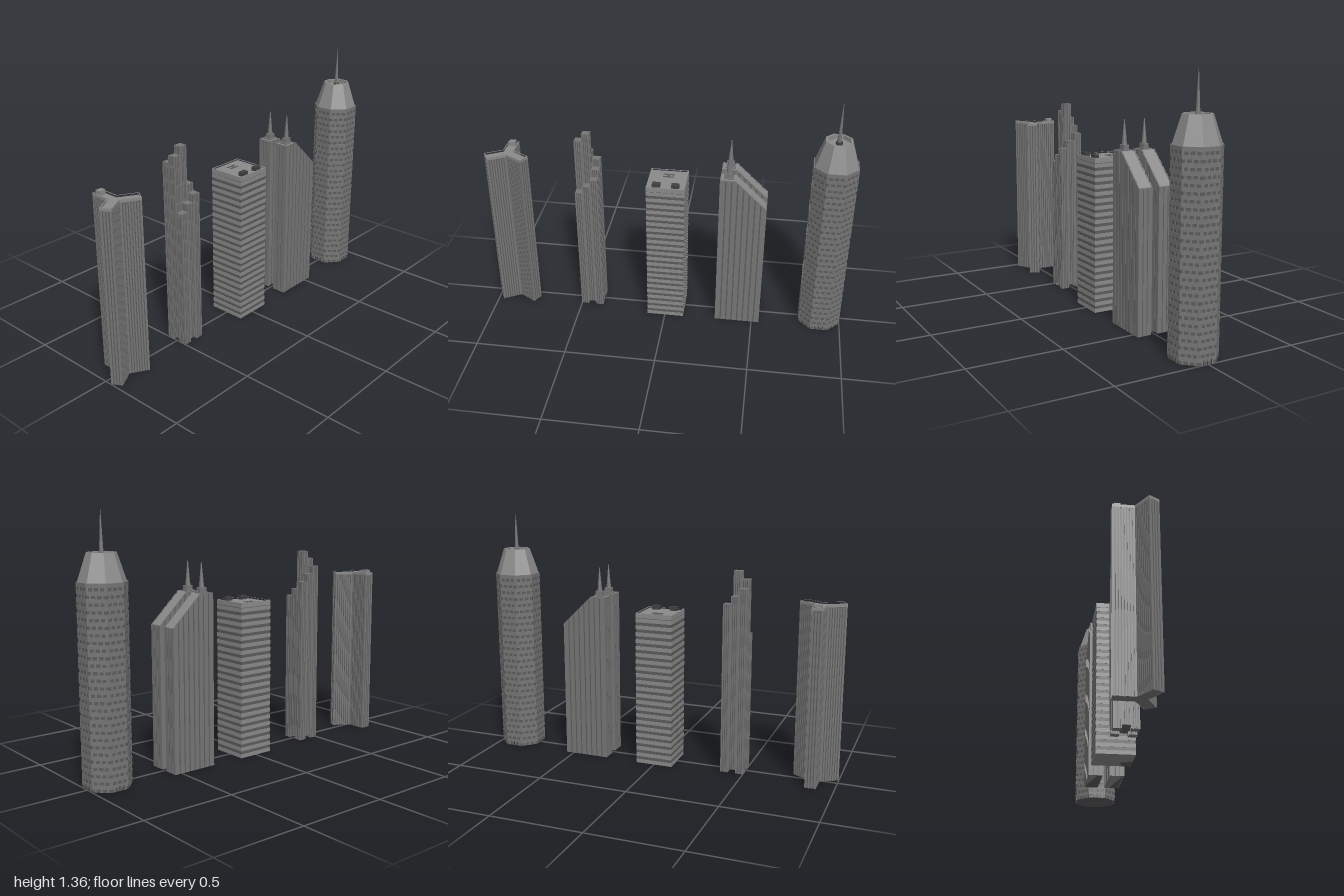
import * as THREE from 'three';
import { mergeGeometries } from 'three/addons/utils/BufferGeometryUtils.js';

const paint = color => new THREE.MeshStandardMaterial({ color, flatShading: true });
const ROOF = paint(0x8a8a8a), WALL = paint(0x767676), GLASS = paint(0x5c5c5c), DARK = paint(0x404040);

function add(group, name, geometries, material = WALL) {
  const list = [geometries].flat().map(g => (g.index ? g.toNonIndexed() : g));
  const mesh = new THREE.Mesh(mergeGeometries(list), material);
  mesh.name = name;
  group.add(mesh);
}

function tower(name, x, z = 0) {
  const g = new THREE.Group();
  g.name = name;
  g.position.set(x, 0, z);
  return g;
}

// Box standing on y0
const box = (w, h, d, x = 0, y0 = 0, z = 0) =>
  new THREE.BoxGeometry(w, h, d).translate(x, y0 + h / 2, z);

// Eight-sided prism with flat sides facing the axes; r is the distance to a flat
const K = 1 / Math.cos(Math.PI / 8);
const octagon = (r, h, y0) => new THREE.CylinderGeometry(r * K, r * K, h, 8)
  .rotateY(Math.PI / 8).translate(0, y0 + h / 2, 0);

const toShape = pts => new THREE.Shape(pts.map(([x, z]) => new THREE.Vector2(x, -z)));
const square = r => [[-r, -r], [r, -r], [r, r], [-r, r]];

// Plan outline ([x, z] points) raised from y0 to y1
function raise(pts, y0, y1, hole) {
  const shape = toShape(pts);
  if (hole) shape.holes.push(toShape(hole));
  return new THREE.ExtrudeGeometry(shape, { depth: y1 - y0, bevelEnabled: false })
    .rotateX(-Math.PI / 2).translate(0, y0, 0);
}

// Cuts evenly spaced vertical grooves into a plan outline
function grooved(pts, spacing, depth) {
  const area = THREE.ShapeUtils.area(pts.map(([x, y]) => ({ x, y })));
  const s = Math.sign(area) * depth;
  const out = [];
  pts.forEach(([ax, az], i) => {
    const [bx, bz] = pts[(i + 1) % pts.length];
    const len = Math.hypot(bx - ax, bz - az);
    const ux = (bx - ax) / len, uz = (bz - az) / len;
    const n = Math.max(2, Math.round(len / spacing));
    const put = (t, d) => out.push([ax + ux * t - uz * d, az + uz * t + ux * d]);
    put(0, 0);
    for (let k = 1; k < n; k++) {
      const t = (k / n) * len, w = (len / n) * 0.2;
      put(t - w, 0); put(t - w, s); put(t + w, s); put(t + w, 0);
    }
  });
  return out;
}

// Three-winged plan with wing length r and half width w
function threeWings(r, w) {
  const pts = [];
  for (let i = 0; i < 3; i++) {
    const a = -Math.PI / 2 + (i * Math.PI * 2) / 3;
    const c = Math.cos(a), s = Math.sin(a), k = w / Math.sin(Math.PI / 3);
    pts.push([c * r + s * w, s * r - c * w], [c * r - s * w, s * r + c * w]);
    pts.push([Math.cos(a + Math.PI / 3) * k, Math.sin(a + Math.PI / 3) * k]);
  }
  return pts;
}

function wingedTower() {
  const g = tower('wingedTower', -0.877, 0.004);
  const outer = threeWings(0.1236, 0.03);
  add(g, 'wingedWalls', raise(grooved(outer, 0.014, 0.004), 0, 0.942));
  add(g, 'wingedGlass', raise(threeWings(0.1216, 0.028), 0.001, 0.941), GLASS);
  add(g, 'wingedRoof', raise(threeWings(0.119, 0.026), 0.94, 0.946), ROOF);
  add(g, 'wingedParapet', raise(outer, 0.94, 0.956, threeWings(0.118, 0.0245)), ROOF);
  add(g, 'roofHousing', box(0.034, 0.028, 0.03, 0, 0.943, -0.098), ROOF);
  return g;
}

function bundledTower() {
  const g = tower('bundledTower', -0.437);
  const c = 0.0427, h = c / 2;
  // Tubes climb in a spiral from the front left corner to the middle
  const order = [[-1, 1], [0, 1], [1, 1], [1, 0], [1, -1], [0, -1], [-1, -1], [-1, 0], [0, 0]];
  const walls = [], glass = [];
  order.forEach(([i, k], n) => {
    const base = i && k ? 0 : 0.02; // corner tubes reach the ground, passages run between
    const top = 0.76 + n * 0.0425;
    walls.push(raise(grooved(square(h), 0.0107, 0.003), base, top).translate(i * c, 0, k * c));
    glass.push(raise(square(h - 0.0015), base + 0.001, top - 0.002).translate(i * c, 0, k * c));
  });
  add(g, 'tubeWalls', walls);
  add(g, 'tubeGlass', glass, GLASS);
  add(g, 'lobbyCeiling', box(c * 3 - 0.008, 0.006, c * 3 - 0.008, 0, 0.018), GLASS);
  return g;
}

function bandedTower() {
  const g = tower('bandedTower', 0.002, 0.002);
  const w = 0.208, floors = 22, step = 0.842 / floors;
  add(g, 'bandedGlass', box(w - 0.003, 0.842, w - 0.003), GLASS);
  add(g, 'floorBands', Array.from({ length: floors }, (_, i) =>
    box(w, step * 0.55, w, 0, i * step)), ROOF);
  add(g, 'bandedRoof', box(w - 0.006, 0.008, w - 0.006, 0, 0.838), ROOF);
  add(g, 'bandedParapet', raise(square(w / 2), 0.828, 0.854, square(w / 2 - 0.007)), ROOF);
  // Plant housings and raised roof marking
  add(g, 'roofHousings', [-1, 1].map(s => box(0.042, 0.024, 0.028, s * 0.052, 0.844, 0.075)), DARK);
  add(g, 'roofMarking', [box(0.06, 0.004, 0.008, 0, 0.845, -0.06),
    box(0.06, 0.004, 0.008, 0, 0.845, -0.035), box(0.014, 0.004, 0.03, 0, 0.845, -0.0475)], GLASS);
  return g;
}

// Vertical panel following the sloped roof line
const roofY = x => (x < 0.37 ? 0.925 : 0.925 - (x - 0.37) * 0.96);
function panel(x0, x1, drop, depth, z) {
  const pts = [[x0, 0], [x1, 0], [x1, roofY(x1) - drop]];
  if (x0 < 0.37 && x1 > 0.37) pts.push([0.37, roofY(0.37) - drop]);
  pts.push([x0, roofY(x0) - drop]);
  const shape = new THREE.Shape(pts.map(p => new THREE.Vector2(...p)));
  return new THREE.ExtrudeGeometry(shape, { depth, bevelEnabled: false }).translate(0, 0, z - depth / 2);
}

function slopedTower(name, z) {
  const g = tower(name, 0.002, z);
  const d = 0.08, x0 = 0.288, x1 = 0.541, n = 8, step = (x1 - x0) / n;
  add(g, 'slopedGlass', panel(x0 + 0.002, x1 - 0.002, 0.006, d - 0.004, 0), GLASS);
  add(g, 'slopedRoof', panel(x0 + 0.004, x1 - 0.004, 0.002, d - 0.012, 0), ROOF);
  const ribs = [];
  for (const s of [-1, 1]) {
    for (let i = 0; i < n; i++) {
      const a = x0 + i * step;
      ribs.push(panel(a + (i ? 0.0035 : 0), a + step - (i < n - 1 ? 0.0035 : 0), 0, 0.007, s * (d / 2 - 0.0035)));
    }
  }
  add(g, 'wallPanels', ribs);
  // Panels on the narrow ends
  const ends = [];
  for (const k of [-1, 0, 1]) {
    ends.push(box(0.006, 0.924, 0.021, x0 + 0.003, 0, k * 0.026));
    ends.push(box(0.006, roofY(x1) - 0.001, 0.021, x1 - 0.003, 0, k * 0.026));
  }
  add(g, 'endPanels', ends);
  add(g, 'mastBase', [box(0.055, 0.012, 0.042, 0.333, 0.918), box(0.04, 0.035, 0.03, 0.333, 0.918)]);
  add(g, 'mast', new THREE.CylinderGeometry(0.002, 0.014, 0.132, 8).translate(0.333, 1.016, 0));
  return g;
}

function octagonalTower() {
  const g = tower('octagonalTower', 0.883, 0.003);
  const r = 0.116, floors = 28, step = 1.016 / floors, bands = [], piers = [], posts = [];
  add(g, 'octagonalGlass', octagon(r - 0.002, 1.015, 0), GLASS);
  for (let i = 0; i < floors; i++) {
    bands.push(octagon(r, step * 0.55, i * step + step * 0.45));
    // Window piers, shifted on every other floor
    const offsets = i % 2 ? [-0.043, -0.015, 0.015, 0.043] : [-0.03, 0, 0.03];
    for (let f = 0; f < 8; f++) {
      for (const x of offsets) {
        piers.push(box(0.009, step * 0.46, 0.005, x, i * step, r - 0.003).rotateY((f * Math.PI) / 4));
      }
    }
  }
  add(g, 'floorBands', bands);
  add(g, 'windowPiers', piers);
  // Tapered crown with a sunken roof
  const profile = [[0.112, 1.01], [0.068, 1.155], [0.057, 1.155], [0.057, 1.132], [0, 1.132]]
    .map(([x, y]) => new THREE.Vector2(x * K, y));
  add(g, 'crown', new THREE.LatheGeometry(profile, 8, Math.PI / 8), ROOF);
  add(g, 'mastBase', new THREE.CylinderGeometry(0.016, 0.018, 0.016, 8).translate(0, 1.14, 0), DARK);
  add(g, 'mast', new THREE.CylinderGeometry(0.001, 0.012, 0.225, 8).translate(0, 1.245, 0));
  // Entrance posts on each axis
  for (let f = 0; f < 4; f++) {
    for (const x of [-0.022, 0, 0.022]) {
      posts.push(box(0.004, 0.025, 0.002, x, 0, r).rotateY((f * Math.PI) / 2));
    }
  }
  add(g, 'entrancePosts', posts, DARK);
  return g;
}

export function createModel() {
  const model = new THREE.Group();
  model.name = 'towers';
  model.add(wingedTower(), bundledTower(), bandedTower(),
    slopedTower('slopedTowerBack', -0.057), slopedTower('slopedTowerFront', 0.061), octagonalTower());
  return model;
}
